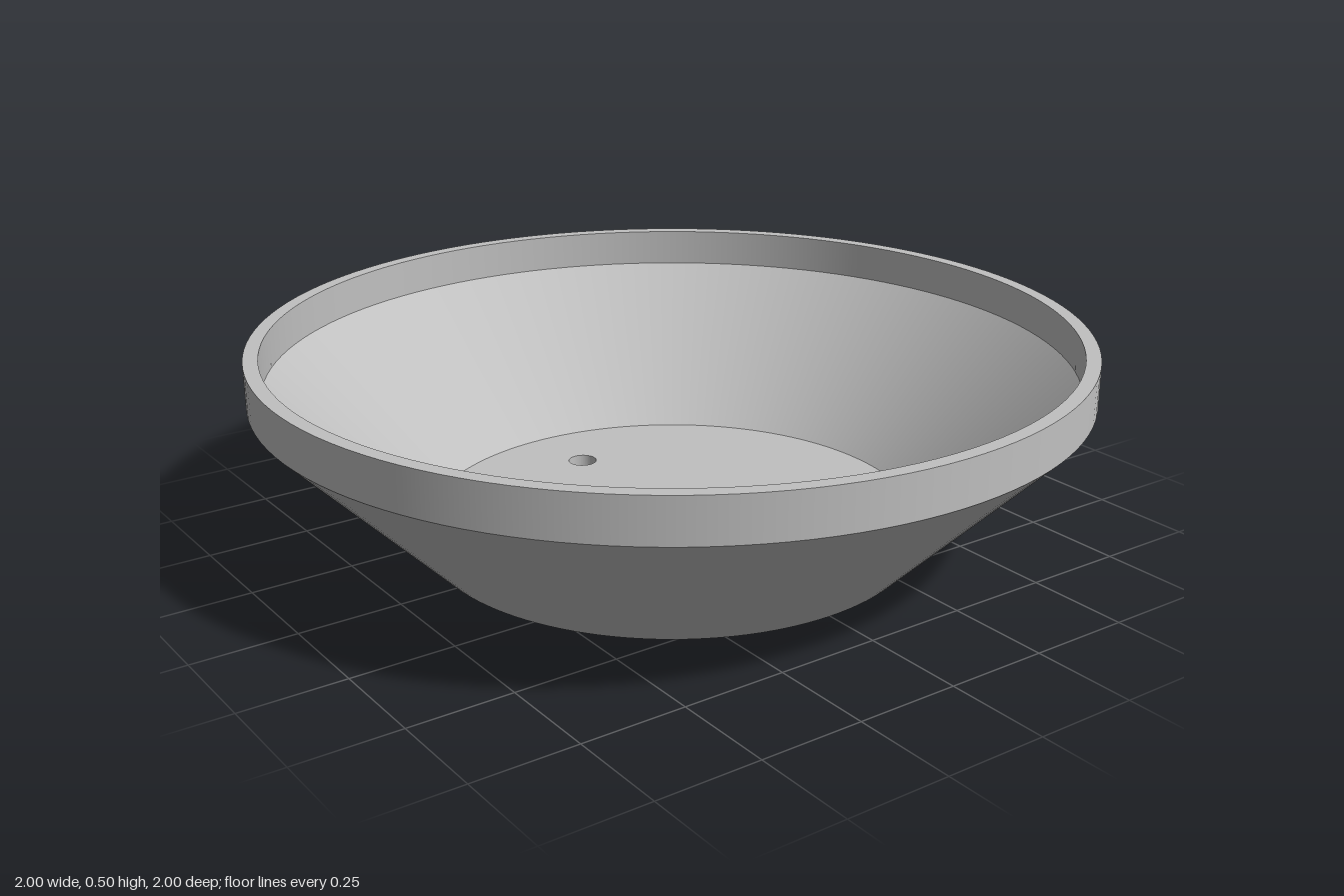
import * as THREE from 'three';
import { mergeGeometries } from 'three/addons/utils/BufferGeometryUtils.js';

const SEGMENTS = 128;
const FLOOR_R = 0.6;
const FLOOR_T = 0.045;

// Revolves each profile segment separately, so the edges between them stay sharp
function sharpLathe(profile) {
  const pieces = [];
  for (let i = 0; i < profile.length - 1; i++) {
    const ends = [profile[i], profile[i + 1]].map(([r, y]) => new THREE.Vector2(r, y));
    pieces.push(new THREE.LatheGeometry(ends, SEGMENTS));
  }
  return mergeGeometries(pieces);
}

function circle(PathType, x, radius) {
  return new PathType().absarc(x, 0, radius, 0, Math.PI * 2, false);
}

export function createModel() {
  const model = new THREE.Group();
  model.name = 'dish';
  const grey = new THREE.MeshStandardMaterial({ color: 0xc0c0c0 });
  grey.name = 'grey';

  // Sloping wall with an upright rim, outside first and then back down the inside
  const wall = new THREE.Mesh(sharpLathe([
    [FLOOR_R, 0], [0.607, 0], [1, 0.397], [1, 0.503],
    [0.965, 0.503], [0.965, 0.41], [FLOOR_R, FLOOR_T],
  ]), grey);
  wall.name = 'wallAndRim';
  model.add(wall);

  // Flat floor with a central hole and two mounting holes
  const disc = circle(THREE.Shape, 0, FLOOR_R);
  for (const [x, radius] of [[0, 0.094], [-0.408, 0.036], [0.408, 0.036]]) {
    disc.holes.push(circle(THREE.Path, x, radius));
  }
  const floorGeometry = new THREE.ExtrudeGeometry(disc, {
    depth: FLOOR_T, bevelEnabled: false, curveSegments: SEGMENTS / 2,
  });
  floorGeometry.rotateX(-Math.PI / 2);
  const floor = new THREE.Mesh(floorGeometry, grey);
  floor.name = 'floor';
  model.add(floor);

  return model;
}
